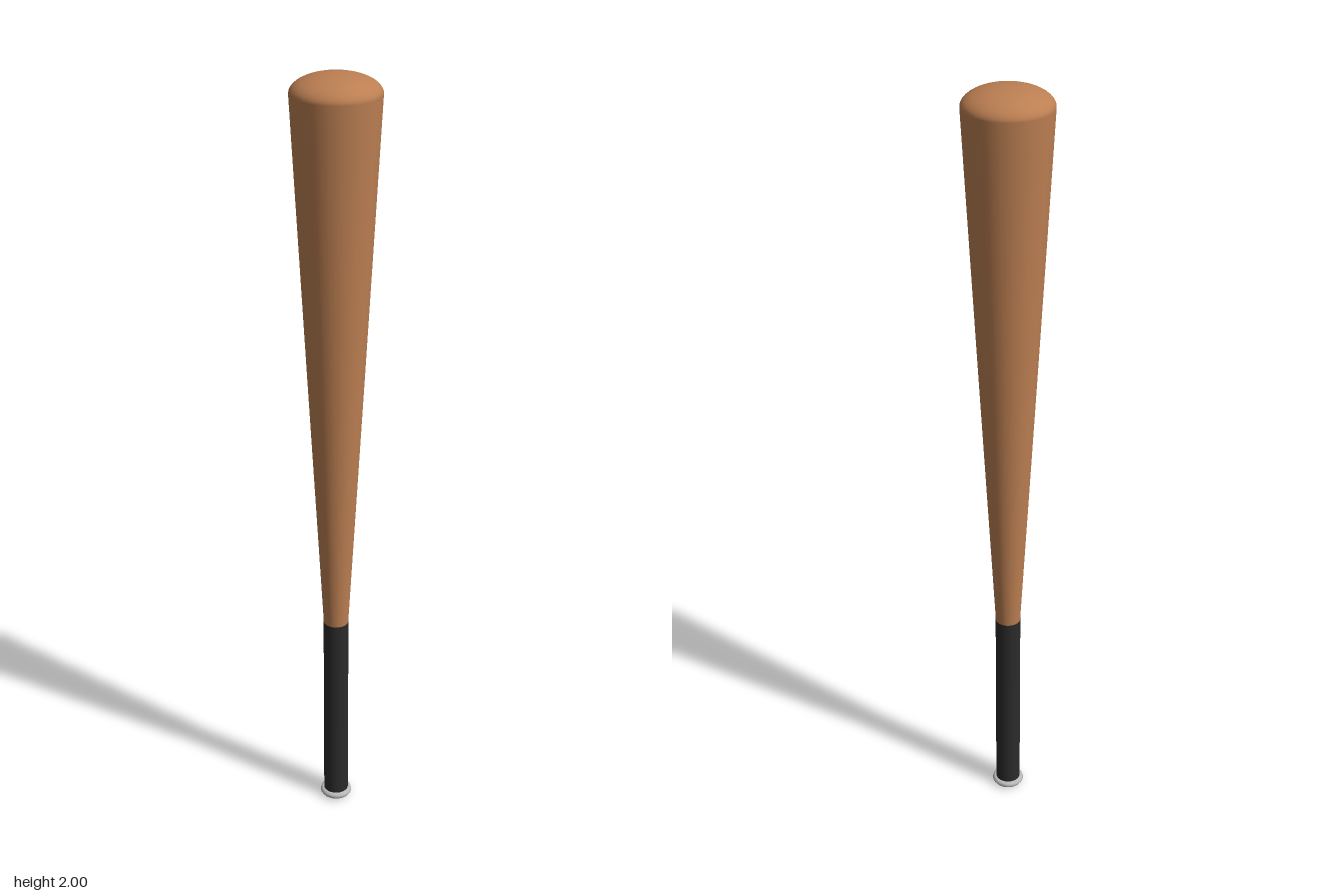
import * as THREE from 'three';

const SEGMENTS = 48;

// Revolves a bottom-to-top list of [radius, height] points
function turned(name, profile, material) {
  const points = profile.map(([r, y]) => new THREE.Vector2(r, y));
  const mesh = new THREE.Mesh(new THREE.LatheGeometry(points, SEGMENTS), material);
  mesh.name = name;
  return mesh;
}

// Quarter ellipse from the rim up to the axis
function dome(radius, base, height, steps) {
  return Array.from({ length: steps + 1 }, (_, i) => {
    const a = (i / steps) * Math.PI / 2;
    return [i === steps ? 0 : radius * Math.cos(a), base + height * Math.sin(a)];
  });
}

export function createModel() {
  const wood = new THREE.MeshStandardMaterial({ color: 0xbc7f52 });
  wood.name = 'wood';
  const rubber = new THREE.MeshStandardMaterial({ color: 0x2b2b2b });
  rubber.name = 'black grip';
  const metal = new THREE.MeshStandardMaterial({ color: 0xbcbcbc });
  metal.name = 'silver metal';

  const bat = new THREE.Group();
  bat.name = 'bat';

  // Tapered barrel with a shallow rounded end
  bat.add(turned('barrel', [
    [0.032, 0.56], [0.07, 1.26], [0.103, 1.88], ...dome(0.107, 1.955, 0.045, 12),
  ], wood));

  // Straight handle grip
  const grip = new THREE.Mesh(new THREE.CylinderGeometry(0.0325, 0.0325, 0.545, SEGMENTS), rubber);
  grip.name = 'grip';
  grip.position.y = 0.2875;
  bat.add(grip);

  // Thin flattened knob under the grip
  bat.add(turned('knob', [
    [0, 0], [0.03, 0.002], [0.038, 0.005], [0.042, 0.011],
    [0.04, 0.017], [0.035, 0.021], [0, 0.022],
  ], metal));

  return bat;
}
